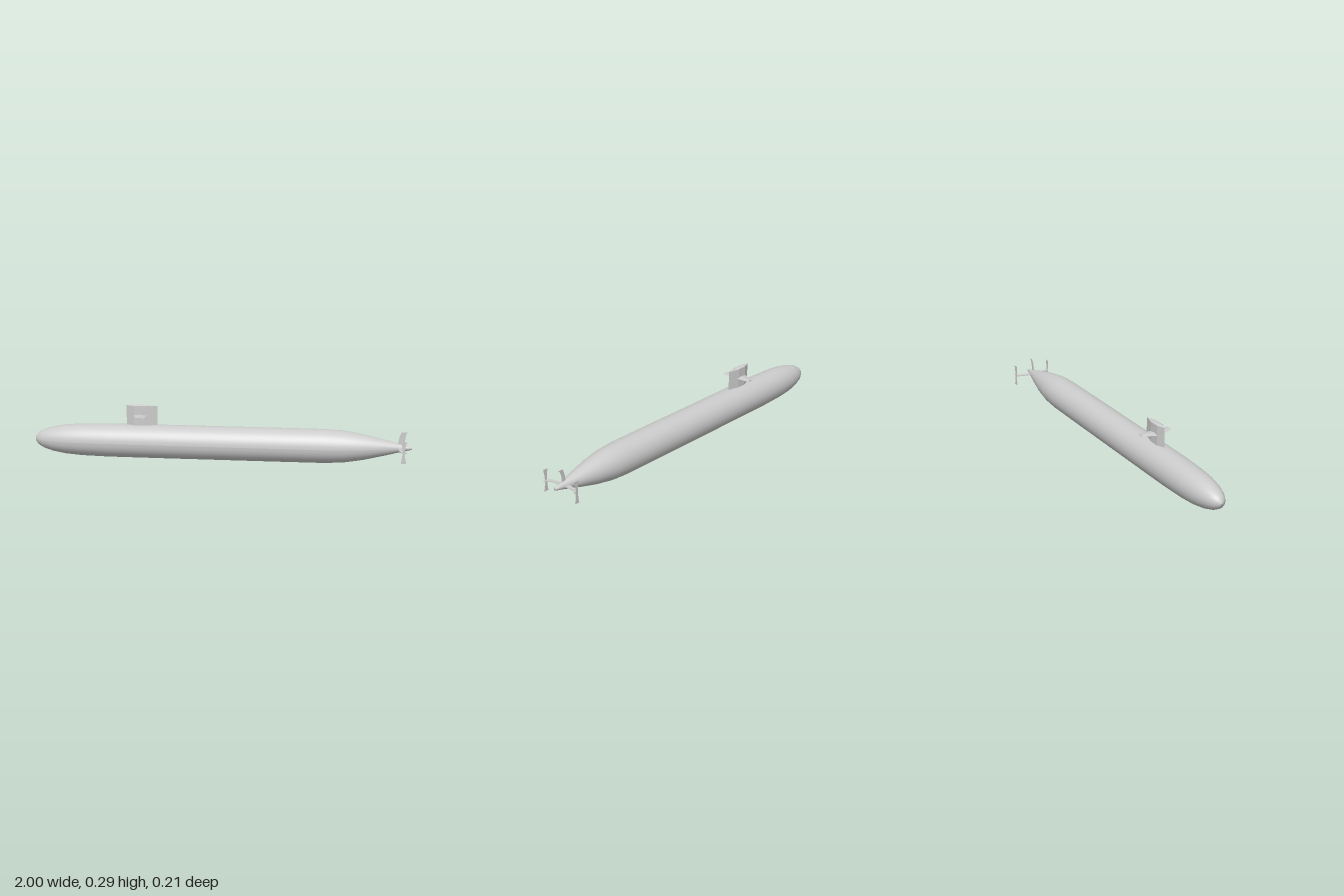
import * as THREE from 'three';
import { ConvexGeometry } from 'three/addons/geometries/ConvexGeometry.js';

const smooth = new THREE.MeshStandardMaterial({ color: 0xcccccc });
const flat = new THREE.MeshStandardMaterial({ color: 0xcccccc, flatShading: true });
const v = (x, y, z) => new THREE.Vector3(x, y, z);

function add(parent, name, geometry, material = flat) {
  const mesh = new THREE.Mesh(geometry, material);
  mesh.name = name;
  parent.add(mesh);
  return mesh;
}

// Thin plate from an outline, centred on its own thickness
function plate(shape, depth) {
  const g = new THREE.ExtrudeGeometry(shape, { depth, bevelEnabled: false, curveSegments: 8 });
  return g.translate(0, 0, -depth / 2);
}

// Hull: a revolved profile whose axis rises slightly toward the stern
function hullGeometry() {
  const profile = [
    [-1, 0], [-0.995, 0.016], [-0.98, 0.033], [-0.95, 0.05], [-0.9, 0.066], [-0.83, 0.078],
    [-0.74, 0.085], [-0.6, 0.0885], [-0.3, 0.089], [0, 0.089], [0.3, 0.089], [0.55, 0.0885],
    [0.65, 0.083], [0.75, 0.067], [0.85, 0.044], [0.92, 0.026], [0.96, 0.016], [0.998, 0.008], [1, 0],
  ];
  const g = new THREE.LatheGeometry(profile.map(([x, r]) => new THREE.Vector2(r, x)), 40);
  g.rotateZ(-Math.PI / 2);
  const p = g.attributes.position;
  for (let i = 0; i < p.count; i++) p.setY(i, p.getY(i) + 0.0975 + 0.0095 * p.getX(i));
  g.computeVertexNormals();
  return g;
}

// Sail: a lens-shaped tower with a low ridge on top
function sailGeometry() {
  const outline = [[-0.498, 0], [-0.455, 0.016], [-0.4, 0.016], [-0.332, 0], [-0.4, -0.016], [-0.455, -0.016]];
  const points = [v(-0.46, 0.294, 0)];
  for (const [x, z] of outline) points.push(v(x, 0.14, z), v(x, 0.286, z));
  return new ConvexGeometry(points);
}

// Sail plane: a tapered wing with a diamond section
function sailPlaneGeometry(side) {
  const points = [];
  for (const [z, front, rear, half] of [[0.008, -0.462, -0.388, 0.006], [0.084, -0.432, -0.39, 0.0035]]) {
    const mid = (front + rear) / 2, y = 0.2345 + side * z * 0.02;
    points.push(v(front, y, z * side), v(rear, y, z * side));
    points.push(v(mid, y + half, z * side), v(mid, y - half, z * side));
  }
  return new ConvexGeometry(points);
}

// Stern fin: narrow and swept, curving back to a flared tip
function finShape(span) {
  const s = new THREE.Shape();
  s.moveTo(0.925, 0);
  s.quadraticCurveTo(0.932, span * 0.75, 0.945, span);
  s.lineTo(0.975, span);
  s.quadraticCurveTo(0.944, span * 0.85, 0.952, 0);
  return s;
}

// End plate: a vertical strip, waisted in the middle
function endPlateShape() {
  const s = new THREE.Shape();
  s.moveTo(0.945, -0.057);
  s.lineTo(0.972, -0.057);
  s.quadraticCurveTo(0.954, 0, 0.972, 0.057);
  s.lineTo(0.945, 0.057);
  s.quadraticCurveTo(0.957, 0, 0.945, -0.057);
  return s;
}

export function createModel() {
  const group = new THREE.Group();
  group.name = 'submarine';

  add(group, 'hull', hullGeometry(), smooth);
  add(group, 'sail', sailGeometry());

  const stern = new THREE.Group();
  stern.name = 'sternControls';
  stern.position.y = 0.107;
  group.add(stern);
  add(stern, 'upperRudder', plate(finShape(0.083), 0.004));

  for (const side of [1, -1]) {
    const end = side > 0 ? 'Port' : 'Starboard';
    add(group, 'sailPlane' + end, sailPlaneGeometry(side));
    add(stern, 'sternPlane' + end, plate(finShape(0.102), 0.004)).rotation.x = side * Math.PI / 2;
    add(stern, 'endPlate' + end, plate(endPlateShape(), 0.003)).position.z = side * 0.102;
  }
  return group;
}
